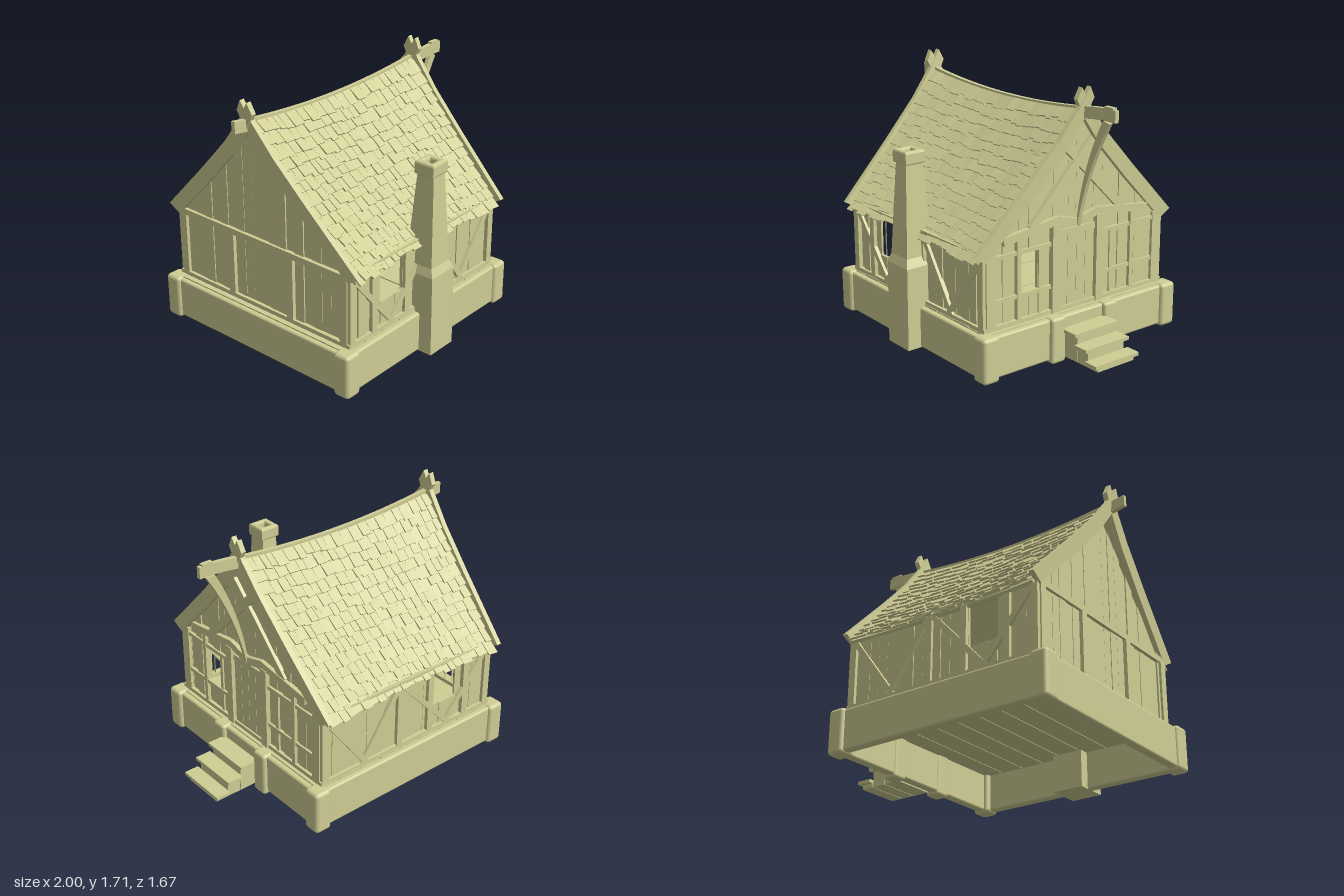
import * as THREE from 'three';
import { mergeGeometries } from 'three/addons/utils/BufferGeometryUtils.js';
import { RoundedBoxGeometry } from 'three/addons/geometries/RoundedBoxGeometry.js';

const CX = -0.115, CZ = -0.035; // centre of the house body
const lerp = THREE.MathUtils.lerp;
let seed = 7;
const rand = () => (seed = (seed * 16807) % 2147483647) / 2147483647;

// Move every vertex of a geometry by a rule
function warp(geo, rule) {
  const p = geo.attributes.position, v = new THREE.Vector3();
  for (let i = 0; i < p.count; i++) {
    v.fromBufferAttribute(p, i);
    rule(v);
    p.setXYZ(i, v.x, v.y, v.z);
  }
  geo.computeVertexNormals();
  return geo;
}

// Sagging roof surface: u along the ridge, t from eave (0) to ridge (1), h above it
function roofPoint(v, u, t, h, side) {
  const q = (2 * u - 1) ** 2;
  v.x = lerp(lerp(-0.81, 0.575, u), lerp(-0.89, 0.635, u), t);
  v.y = lerp(0.745, 1.525 + 0.045 * q, t) - 0.08 * t * (1 - t) + h * 0.7;
  v.z = CZ + side * ((0.725 + 0.035 * q) * (1 - t) + h * 0.7);
}
const gableTop = a => {
  const t = Math.max(0, 1 - Math.abs(a) / 0.76);
  return lerp(0.745, 1.57, t) - 0.08 * t * (1 - t) - 0.02;
};

export function createModel() {
  const model = new THREE.Group();
  const straw = new THREE.MeshStandardMaterial({ color: 0xcfcd94 });
  straw.name = 'straw';
  const add = (name, geo, parent = model) => {
    const m = new THREE.Mesh(geo, straw);
    m.name = name;
    parent.add(m);
    return m;
  };
  const box = (name, x0, x1, y0, y1, z0, z1, r = 0) => {
    const s = [x1 - x0, y1 - y0, z1 - z0];
    const g = r ? new RoundedBoxGeometry(...s, 2, r) : new THREE.BoxGeometry(...s);
    return add(name, g.translate((x0 + x1) / 2, (y0 + y1) / 2, (z0 + z1) / 2));
  };

  // Stone foundation, open underneath
  box('foundationFront', -0.9, 0.665, 0.02, 0.29, 0.67, 0.735, 0.015);
  box('foundationBack', -0.9, 0.665, 0.02, 0.29, -0.805, -0.74, 0.015);
  box('foundationLeft', 0.6, 0.665, 0.02, 0.29, -0.8, 0.73, 0.015);
  box('foundationRight', -0.9, -0.835, 0.02, 0.29, -0.8, 0.73, 0.015);
  for (const x of [-0.92, 0.57]) for (const z of [-0.825, 0.635])
    box('cornerStone', x, x + 0.12, 0.005, 0.3, z, z + 0.12, 0.025);
  for (const z of [0.125, -0.305]) box('stepPost', 0.59, 0.695, 0, 0.3, z, z + 0.11, 0.02);

  // Floor boards running front to back
  for (let i = 0; i < 9; i++) {
    const x = -0.87 + i * 0.167;
    box('floorBoard', x, x + 0.162, 0.27, 0.298 + 0.004 * (i % 2), -0.77, 0.7);
  }

  // Entrance steps
  [[0.67, 0.8, 0.215], [0.79, 0.9, 0.145], [0.89, 0.99, 0.07]].forEach(([x0, x1, y]) => {
    box('stepBlock', x0, x1 - 0.015, 0.02, y - 0.02, -0.18, 0.115);
    box('stepTread', x0, x1, y - 0.022, y, -0.21, 0.145);
  });

  // Walls of vertical planks; a runs along the wall, local z points outwards
  function wall(name, x, z, angle, half, top, windows) {
    const group = new THREE.Group();
    group.name = name;
    group.position.set(x, 0, z);
    group.rotation.y = angle;
    model.add(group);
    const cuts = [-half, 0, half, ...windows.flatMap(w => [w[0], w[1]])].sort((a, b) => a - b);
    const parts = [];
    const plank = (a0, a1, y0, y1) => {
      const d = 0.012 + 0.012 * rand();
      const g = new THREE.BoxGeometry(a1 - a0, 1, d).translate((a0 + a1) / 2, 0, d / 2);
      warp(g, v => { v.y = v.y < 0 ? y0 : y1 ?? top(v.x); });
      g.setIndex([...g.index.array].slice(0, 30)); // boards are open on the inside
      parts.push(g);
    };
    for (let i = 0; i + 1 < cuts.length; i++) {
      const len = cuts[i + 1] - cuts[i], n = Math.ceil(len / 0.075);
      for (let k = 0; k < n; k++) {
        const a0 = cuts[i] + len * k / n, a1 = a0 + len / n, mid = (a0 + a1) / 2;
        const w = windows.find(o => mid > o[0] && mid < o[1]);
        if (w) { plank(a0, a1, 0.29, w[2]); plank(a0, a1, w[3]); }
        else plank(a0, a1, 0.29);
      }
    }
    add(name + 'Planks', mergeGeometries(parts), group);
    // Timber laid flat on the wall between two points
    return (part, a0, y0, a1, y1, width = 0.04, depth = 0.045) => {
      const m = add(part, new THREE.BoxGeometry(Math.hypot(a1 - a0, y1 - y0), width, depth), group);
      m.position.set((a0 + a1) / 2, (y0 + y1) / 2, depth / 2 - 0.005);
      m.rotation.z = Math.atan2(y1 - y0, a1 - a0);
    };
  }

  // Long walls with a window and V-shaped braces
  for (const s of [1, -1]) {
    const w = [-0.415 * s, -0.205 * s].sort((a, b) => a - b);
    const beam = wall(s > 0 ? 'frontWall' : 'backWall', CX, CZ + s * 0.69, s > 0 ? 0 : Math.PI,
      0.69, () => 0.77, [[...w, 0.48, 0.74]]);
    const t = (n, a0, y0, a1, y1, wd) => beam(n, s * a0, y0, s * a1, y1, wd);
    t('sill', -0.72, 0.31, 0.72, 0.31, 0.03);
    t('topRail', -0.7, 0.765, 0.7, 0.765, 0.04);
    for (const a of [-0.685, 0.685]) t('cornerPost', a, 0.3, a, 0.77, 0.05);
    for (const a of [-0.49, -0.18, 0.08]) t('stud', a, 0.3, a, 0.76, 0.045);
    for (const [a, b, c] of [[-0.67, -0.33, 0.05], [0.1, 0.37, 0.67]]) {
      t('brace', a, 0.74, b + 0.02, 0.31, 0.035);
      t('brace', c, 0.74, b - 0.02, 0.31, 0.035);
    }
  }

  // Door gable
  const door = wall('doorGable', 0.565, CZ, Math.PI / 2, 0.705, gableTop, [[-0.445, -0.305, 0.48, 0.75]]);
  door('sill', -0.72, 0.31, 0.72, 0.31, 0.03);
  for (const a of [-0.108, -0.036, 0.036, 0.108]) door('doorBoard', a, 0.3, a, 0.78, 0.07, 0.033);
  door('lintel', -0.15, 0.8, 0.15, 0.8, 0.04, 0.035);
  for (const s of [1, -1]) {
    door('cornerPost', s * 0.675, 0.3, s * 0.675, 0.79, 0.065);
    door('doorPost', s * 0.178, 0.3, s * 0.178, 0.87, 0.058, 0.055);
    door('stud', s * 0.46, 0.3, s * 0.46, 0.85, 0.03);
    door('studInner', s * 0.29, 0.3, s * 0.29, 0.75, 0.025, 0.035);
    for (const y of [0.475, 0.75]) door('rail', s * 0.66, y, s * 0.2, y, 0.025, 0.04);
    door('tieBeam', s * 0.58, 0.84, s * 0.15, 0.895, 0.05, 0.05);
    door('tieBeam', s * 0.16, 0.895, 0, 0.85, 0.05, 0.05);
    door('scissorBrace', s * 0.37, 0.88, s * -0.12, 1.37, 0.055, s > 0 ? 0.045 : 0.052);
  }

  // Plain gable
  const plain = wall('plainGable', -0.795, CZ, -Math.PI / 2, 0.705, gableTop, []);
  plain('sill', -0.72, 0.31, 0.72, 0.31, 0.03);
  plain('rail', -0.7, 0.76, 0.7, 0.76, 0.04);
  for (const a of [-0.68, -0.25, 0.25, 0.68]) plain('post', a, 0.3, a, 0.76, 0.05);

  // Roof decks and uneven rows of shingles
  const ROWS = 14;
  for (const side of [1, -1]) {
    const name = side > 0 ? 'front' : 'back';
    add(name + 'RoofDeck', warp(new THREE.BoxGeometry(1, 1, 1, 16, 1, 8), v =>
      roofPoint(v, v.x + 0.5, 0.5 - side * v.z, v.y * 0.02 - 0.01, side)));
    const tiles = [];
    for (let r = 0; r < ROWS; r++) {
      for (let u = 0; u < 0.995;) {
        let w = 0.03 + 0.028 * rand();
        if (u + w > 0.97) w = 1 - u;
        const u0 = u + 0.001, du = w - 0.0025;
        const low = (r - 0.12 - 0.35 * rand()) / ROWS, high = Math.min(1, (r + 1.15) / ROWS);
        const lift = 0.014 + 0.012 * rand(), skew = 0.01 * (rand() - 0.5);
        tiles.push(warp(new THREE.BoxGeometry(1, 1, 1), v => {
          const t = 0.5 - side * v.z;
          const h = lerp(lift, 0.001, t) + v.y * 0.012;
          roofPoint(v, u0 + du * (v.x + 0.5), lerp(low + skew * v.x, high, t), h, side);
        }));
        u += w;
      }
    }
    add(name + 'Shingles', mergeGeometries(tiles));
  }

  // Leaning barge boards crossing above the ridge
  const edge = [[0.795, 0.785], [0.424, 1.158], [0.198, 1.394], [0.053, 1.575], [-0.03, 1.705],
    [-0.065, 1.635], [0, 1.515], [0.14, 1.325], [0.365, 1.085], [0.71, 0.738]];
  for (const [end, foot, lean] of [['left', 0.59, 0.055], ['right', -0.82, -0.085]])
    for (const s of [1, -1]) {
      const shape = new THREE.Shape(edge.map(([z, y]) => new THREE.Vector2(s * z, y)));
      const g = new THREE.ExtrudeGeometry(shape, { depth: 0.034, bevelEnabled: false });
      g.rotateY(-Math.PI / 2);
      add(end + 'BargeBoard', warp(g, v => {
        v.x += foot + 0.017 + s * 0.003 + lean * (v.y - 0.74) / 0.96;
        v.z += CZ;
      }));
    }

  // Curved ridge beam
  add('ridgeBeam', warp(new THREE.BoxGeometry(1.93, 0.075, 0.028, 20, 1, 1), v => {
    v.x -= 0.04;
    v.y += 1.5 + 0.07 * Math.min(1, ((v.x - CX) / 0.9) ** 2);
    v.z += CZ - 0.003;
  }));
  box('ridgeBeamCap', 0.83, 0.905, 1.6, 1.62, CZ - 0.018, CZ + 0.012);

  // Curved brace carrying the ridge end
  const arc = new THREE.QuadraticBezierCurve(new THREE.Vector2(0.6, 0.85),
    new THREE.Vector2(0.65, 1.22), new THREE.Vector2(0.82, 1.53)).getPoints(8);
  const back = arc.map(p => new THREE.Vector2(p.x + 0.012 + 0.045 * (p.y - 0.85) / 0.68, p.y - 0.01)).reverse();
  add('ridgeBrace', new THREE.ExtrudeGeometry(new THREE.Shape([...arc, ...back]),
    { depth: 0.028, bevelEnabled: false }).translate(0, 0, CZ - 0.017));

  // Chimney: stacked tapering blocks [x0, x1, z0, z1, y]
  const levels = [[-0.22, 0, 0.6, 0.83, 0.02], [-0.22, 0, 0.6, 0.825, 0.56],
    [-0.203, -0.028, 0.61, 0.805, 0.615], [-0.168, -0.06, 0.655, 0.775, 1.22]];
  for (let i = 0; i < 3; i++)
    add('chimneyStack', warp(new THREE.BoxGeometry(1, 1, 1), v => {
      const l = levels[v.y < 0 ? i : i + 1];
      v.set(v.x < 0 ? l[0] : l[1], l[4], v.z < 0 ? l[2] : l[3]);
    }));
  const square = (S, r) => new S([[-r, -r], [r, -r], [r, r], [-r, r]].map(p => new THREE.Vector2(...p)));
  const cap = square(THREE.Shape, 0.057);
  cap.holes.push(square(THREE.Path, 0.045));
  add('chimneyCap', new THREE.ExtrudeGeometry(cap, { depth: 0.06, bevelSize: 0.014, bevelThickness: 0.014, bevelSegments: 2 })
    .rotateX(-Math.PI / 2).translate(-0.116, 1.216, 0.714));

  return model;
}
